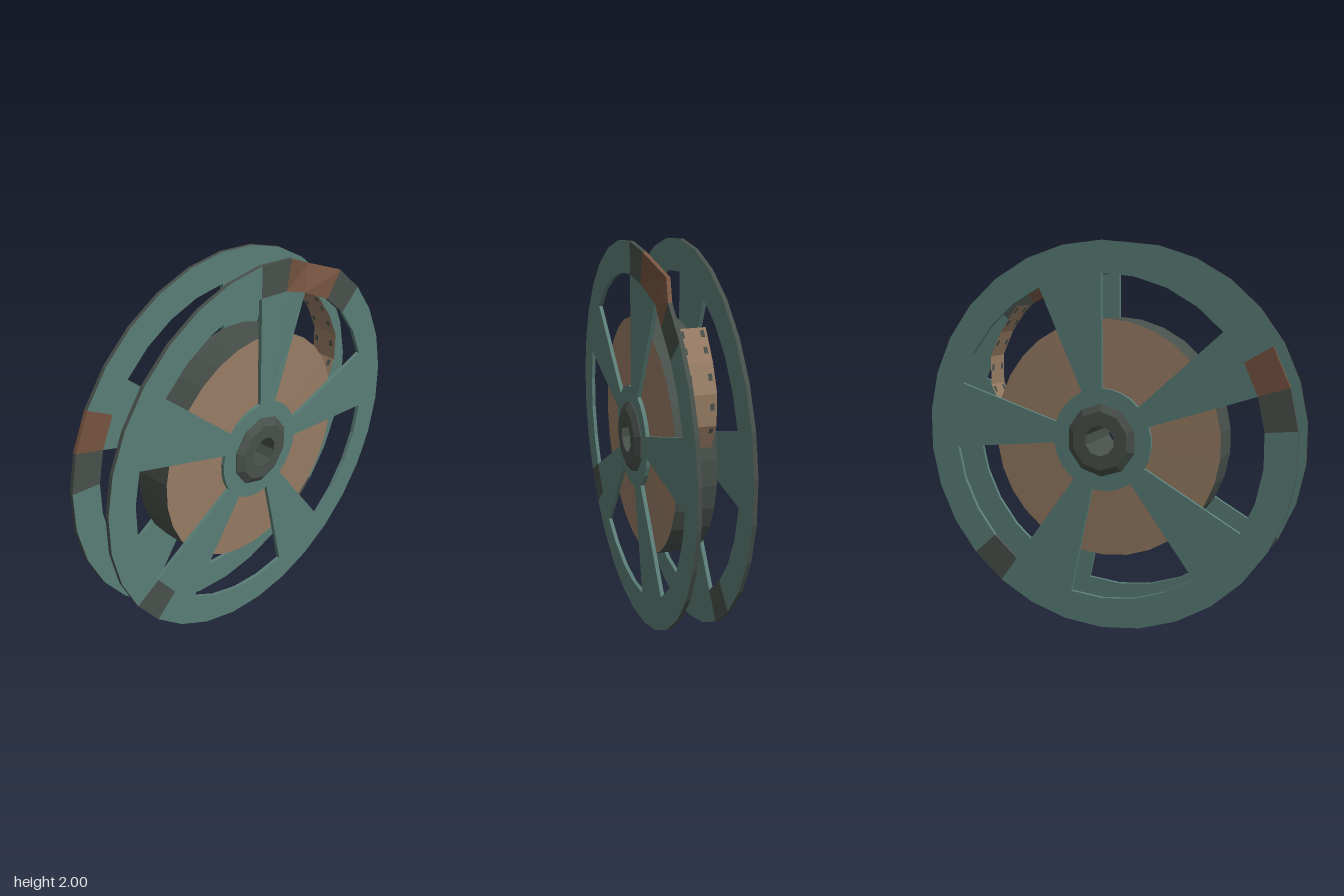
import * as THREE from 'three';

const SIDES = 30, STEP = (Math.PI * 2) / SIDES;
const HUB = 0.17, COLLAR = 0.265, WINDOW = 0.84, RIM = 1;

function makeMaterial(name, color, doubleSided) {
  const m = new THREE.MeshStandardMaterial({ color });
  m.name = name;
  if (doubleSided) m.side = THREE.DoubleSide;
  return m;
}

function quadGeometry(quads) {
  const pos = [];
  for (const [a, b, c, d] of quads) pos.push(...a, ...b, ...c, ...a, ...c, ...d);
  const g = new THREE.BufferGeometry();
  g.setAttribute('position', new THREE.Float32BufferAttribute(pos, 3));
  g.computeVertexNormals();
  return g;
}

// Faceted solid turned round the z axis; profile points are [radius, z]
function turned(profile, sides) {
  const g = new THREE.LatheGeometry(profile.map(p => new THREE.Vector2(...p)), sides)
    .rotateX(Math.PI / 2).toNonIndexed();
  g.computeVertexNormals();
  return g;
}

function addMesh(parent, name, geometry, material) {
  const mesh = new THREE.Mesh(geometry, material);
  mesh.name = name;
  parent.add(mesh);
  return mesh;
}

// Side plate with five windows; patches maps a rim segment to its colour
function makeFlange(name, z, dented, patches, mats) {
  const half = 0.01;
  const buckets = { teal: [], dark: [], rust: [] };
  const point = (k, r, side) => {
    let radius = r, pz = z + side * half;
    // Dent in the rim at the third corner
    if (dented && k === 2 && r === RIM) { radius = 0.97; pz -= 0.056; }
    if (dented && k === 2 && r === WINDOW) { radius = 0.83; pz -= 0.02; }
    return [radius * Math.sin(k * STEP), radius * Math.cos(k * STEP), pz];
  };
  const cell = (k, r0, r1, color, open) => {
    const n = k + 1, out = buckets[color];
    const f = [point(k, r0, 1), point(n, r0, 1), point(n, r1, 1), point(k, r1, 1)];
    const b = [point(k, r0, -1), point(n, r0, -1), point(n, r1, -1), point(k, r1, -1)];
    out.push(f, [b[3], b[2], b[1], b[0]]);
    if (open.outer) {
      const edge = r1 === RIM && color === 'teal' ? buckets.dark : out;
      edge.push([f[3], f[2], b[2], b[3]]);
    }
    if (open.inner) out.push([f[1], f[0], b[0], b[1]]);
    if (open.start) out.push([f[0], f[3], b[3], b[0]]);
    if (open.end) out.push([f[2], f[1], b[1], b[2]]);
  };
  for (let k = 0; k < SIDES; k++) {
    const spoke = k % 6 < 2;
    cell(k, HUB, COLLAR, 'teal', { outer: !spoke });
    if (spoke) cell(k, COLLAR, WINDOW, 'teal', { start: k % 6 === 0, end: k % 6 === 1 });
    cell(k, WINDOW, RIM, patches[k] || 'teal', { outer: true, inner: !spoke });
  }
  const group = new THREE.Group();
  group.name = name;
  addMesh(group, name + 'Plate', quadGeometry(buckets.teal), mats.teal);
  addMesh(group, name + 'DarkEdge', quadGeometry(buckets.dark), mats.dark);
  addMesh(group, name + 'RustPatch', quadGeometry(buckets.rust), mats.rust);
  return group;
}

// Loose end of the wound strip, with small perforations
function makeLooseEnd(mats) {
  const group = new THREE.Group();
  group.name = 'looseEnd';
  const path = [[0.5, 0.67], [0.6, 0.53], [0.66, 0.4], [0.66, 0.25], [0.6, 0.125]];
  const holes = [[0.18, 0.65], [0.46], [0.4], [0.2]];
  const quads = [];
  for (let i = 0; i < path.length - 1; i++) {
    const [x0, y0] = path[i], [x1, y1] = path[i + 1];
    quads.push([[x0, y0, 0.075], [x1, y1, 0.075], [x1, y1, -0.072], [x0, y0, -0.072]]);
    for (const t of holes[i]) {
      for (const z of [-0.05, 0.047]) {
        const hole = addMesh(group, 'perforation', new THREE.BoxGeometry(0.032, 0.005, 0.018), mats.dark);
        hole.position.set(x0 + (x1 - x0) * t, y0 + (y1 - y0) * t, z);
        hole.rotation.z = Math.atan2(y1 - y0, x1 - x0);
      }
    }
  }
  addMesh(group, 'looseStrip', quadGeometry(quads), mats.strip);
  return group;
}

export function createModel() {
  const mats = {
    teal: makeMaterial('teal paint', 0x5a7d76),
    dark: makeMaterial('dark metal', 0x48504b),
    rust: makeMaterial('rust', 0x75533f),
    tan: makeMaterial('tan', 0x967b63),
  };
  mats.strip = mats.tan;
  mats.tan.side = THREE.DoubleSide;

  const model = new THREE.Group();
  model.name = 'reel';
  const reel = new THREE.Group();
  reel.name = 'reelBody';
  reel.position.y = 1;
  model.add(reel);

  // Two side plates
  reel.add(makeFlange('frontFlange', 0.128, true,
    { 0: 'dark', 1: 'rust', 2: 'rust', 3: 'dark', 19: 'dark' }, mats));
  reel.add(makeFlange('backFlange', -0.128, false,
    { 11: 'dark', 23: 'dark', 24: 'rust' }, mats));

  // Wound roll: dark outer wall, slightly coned tan faces
  addMesh(reel, 'rollWall', turned([[0.615, -0.1], [0.615, 0.1]], SIDES), mats.dark);
  addMesh(reel, 'rollFrontFace', turned([[0.615, 0.1], [0.17, 0.114]], SIDES), mats.tan);
  addMesh(reel, 'rollBackFace', turned([[0.17, -0.114], [0.615, -0.1]], SIDES), mats.tan);

  // Hub with chamfered ends and an open bore
  addMesh(reel, 'hub', turned([
    [0.08, -0.167], [0.152, -0.167], [0.188, -0.143], [0.188, 0.143],
    [0.152, 0.167], [0.08, 0.167], [0.08, -0.167],
  ], 10), mats.dark);

  reel.add(makeLooseEnd(mats));
  return model;
}
